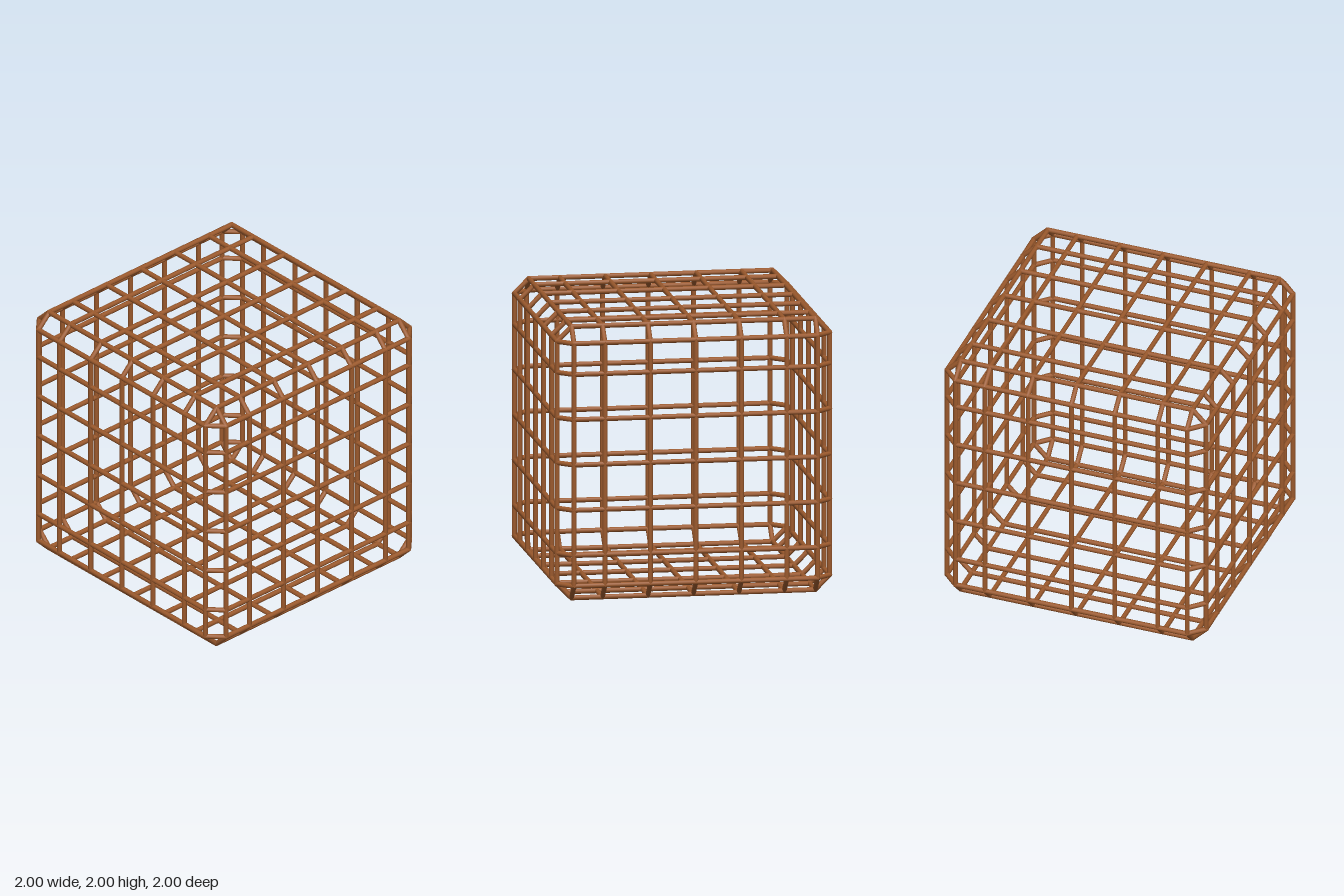
import * as THREE from 'three';

const OUTER = 0.982;   // centre line of the bars on each face
const CUT = 0.878;     // where the corner cut begins
const RADIUS = 0.018;
const SIDES = 8;
const STEPS = [-CUT, -0.655, -0.328, 0, 0.328, 0.655, CUT];

// Corners of the cut square that every hoop follows, counter-clockwise
const CORNERS = [
  [OUTER, -CUT], [OUTER, CUT], [CUT, OUTER], [-CUT, OUTER],
  [-OUTER, CUT], [-OUTER, -CUT], [-CUT, -OUTER], [CUT, -OUTER],
].map(([x, y]) => new THREE.Vector2(x, y));

// Mitred round bar along the closed outline, lying in the XY plane
function hoopGeometry() {
  const n = CORNERS.length;
  const miters = CORNERS.map((p, i) => {
    const a = p.clone().sub(CORNERS[(i + n - 1) % n]).normalize();
    const b = CORNERS[(i + 1) % n].clone().sub(p).normalize();
    const normalA = new THREE.Vector2(a.y, -a.x);
    const m = normalA.clone().add(new THREE.Vector2(b.y, -b.x)).normalize();
    return m.divideScalar(m.dot(normalA));
  });
  const positions = [], index = [];
  // Each straight has its own two rings, so the bends stay crisp
  for (let i = 0; i < n; i++) {
    const base = positions.length / 3;
    for (const c of [i, (i + 1) % n]) {
      for (let s = 0; s < SIDES; s++) {
        const t = (s / SIDES) * Math.PI * 2;
        const out = Math.cos(t) * RADIUS;
        positions.push(
          CORNERS[c].x + miters[c].x * out,
          CORNERS[c].y + miters[c].y * out,
          Math.sin(t) * RADIUS);
      }
    }
    for (let s = 0; s < SIDES; s++) {
      const a = base + s, b = base + (s + 1) % SIDES;
      index.push(a, a + SIDES, b, b, a + SIDES, b + SIDES);
    }
  }
  const g = new THREE.BufferGeometry();
  g.setAttribute('position', new THREE.Float32BufferAttribute(positions, 3));
  g.setIndex(index);
  g.computeVertexNormals();
  return g;
}

export function createModel() {
  const model = new THREE.Group();
  model.name = 'cage';
  const material = new THREE.MeshStandardMaterial({ color: 0x9c5a2d });
  const geometry = hoopGeometry();

  // Three sets of parallel hoops, one set across each axis
  const sets = [
    ['hoopsAcrossX', 0, Math.PI / 2],
    ['hoopsAcrossY', -Math.PI / 2, 0],
    ['hoopsAcrossZ', 0, 0],
  ];
  for (const [name, rx, ry] of sets) {
    const set = new THREE.Group();
    set.name = name;
    set.rotation.set(rx, ry, 0);
    set.position.y = 1;
    STEPS.forEach((offset, i) => {
      const hoop = new THREE.Mesh(geometry, material);
      hoop.name = `hoop${i + 1}`;
      hoop.position.z = offset;
      set.add(hoop);
    });
    model.add(set);
  }
  return model;
}
